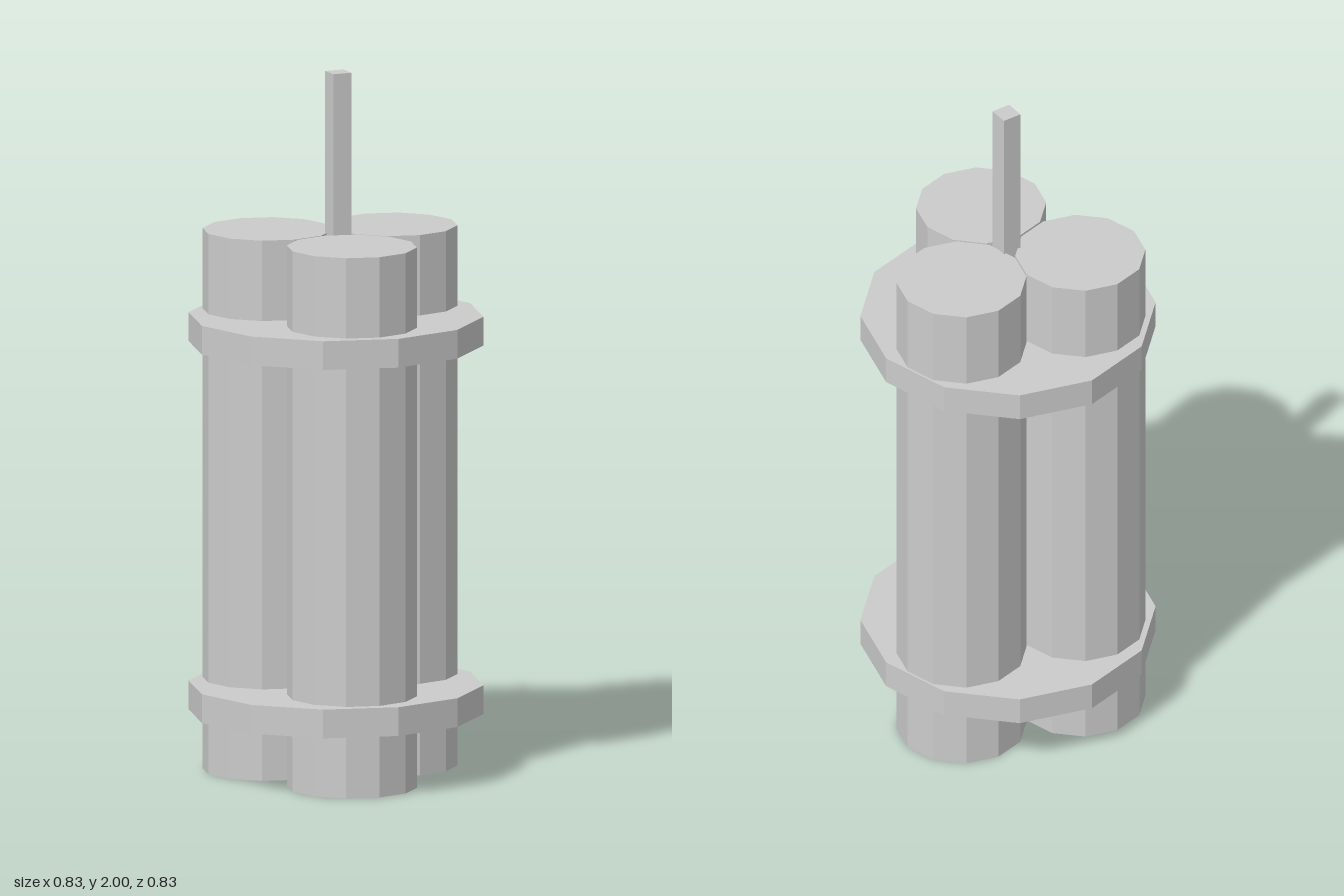
import * as THREE from 'three';

export function createModel() {
  const group = new THREE.Group();
  const material = new THREE.MeshStandardMaterial({ color: 0xcccccc, flatShading: true });

  const add = (name, geometry, x, y, z) => {
    const mesh = new THREE.Mesh(geometry, material);
    mesh.name = name;
    mesh.position.set(x, y, z);
    group.add(mesh);
  };

  // Three twelve-sided sticks bundled together
  const stick = new THREE.CylinderGeometry(0.183, 0.183, 1.54, 12);
  const centres = { frontStick: [-0.04, 0.191], leftStick: [0.207, -0.07], backStick: [-0.14, -0.154] };
  for (const [name, [x, z]] of Object.entries(centres)) add(name, stick, x, 0.77, z);

  // Solid bands holding the bundle
  const band = new THREE.CylinderGeometry(0.415, 0.415, 0.082, 12);
  add('lowerBand', band, 0, 0.22, 0);
  add('upperBand', band, 0, 1.27, 0);

  // Square fuse rising from the gap between the sticks
  const fuseBottom = 1.29;
  add('fuse', new THREE.BoxGeometry(0.056, 2 - fuseBottom, 0.056), 0.012, (2 + fuseBottom) / 2, -0.01);

  return group;
}
